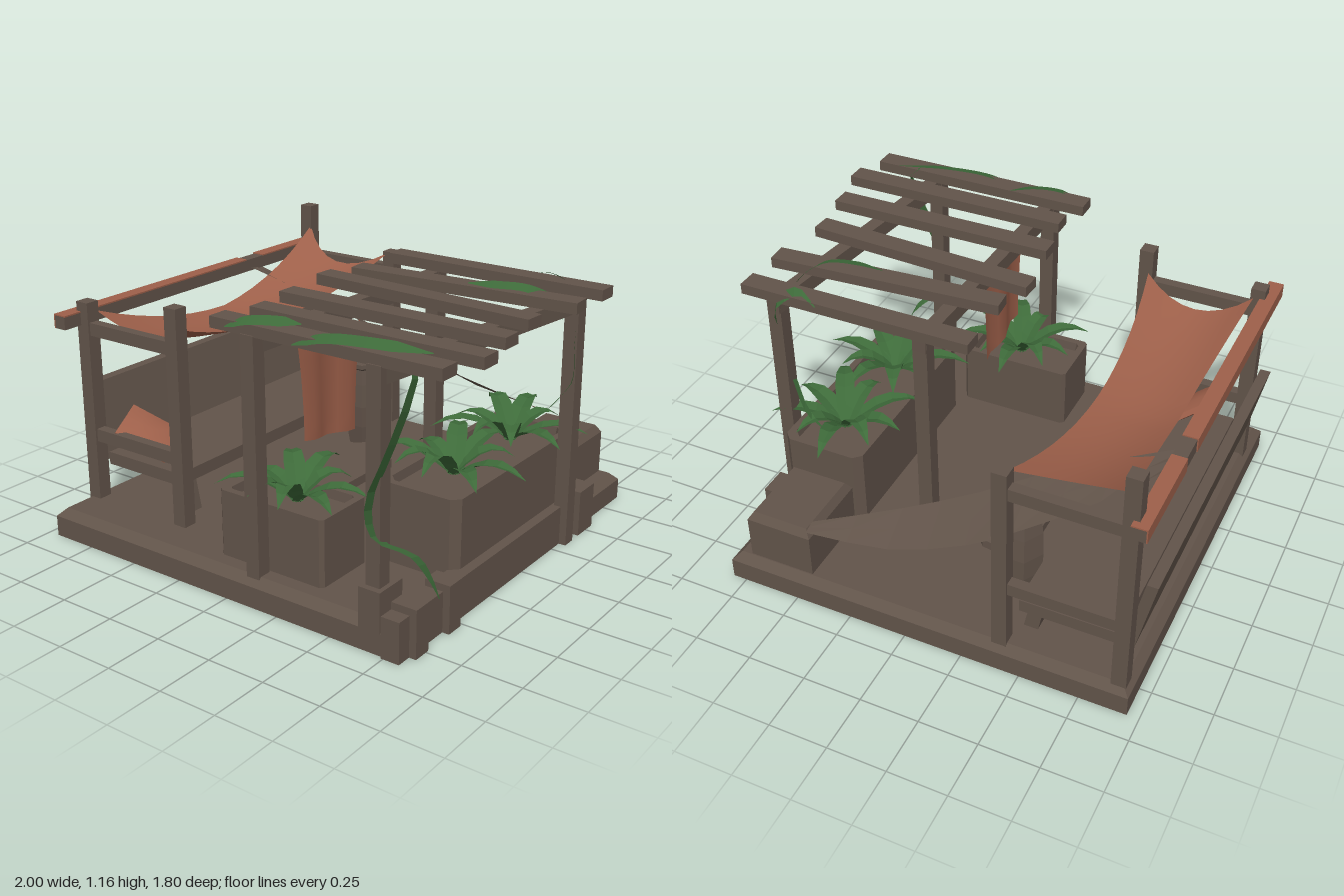
import * as THREE from 'three';

const wood = new THREE.MeshStandardMaterial({ color: 0x62544a, side: THREE.DoubleSide, flatShading: true });
wood.name = 'weathered wood';
const cloth = new THREE.MeshStandardMaterial({ color: 0x9e604a, side: THREE.DoubleSide });
cloth.name = 'terracotta cloth';
const leafGreen = new THREE.MeshStandardMaterial({ color: 0x3e6b3a, side: THREE.DoubleSide, flatShading: true });
leafGreen.name = 'leaf green';

const V = (x, y, z) => new THREE.Vector3(x, y, z);

export function createModel() {
  const root = new THREE.Group();
  const add = (name, geo, mat = wood) => {
    const m = new THREE.Mesh(geo, mat);
    m.name = name;
    root.add(m);
    return m;
  };
  // Box shell, open underneath
  const shell = (w, h, d) => {
    const g = new THREE.BoxGeometry(w, h, d);
    const { start, count } = g.groups[3];
    g.setIndex(Array.from(g.index.array).filter((_, i) => i < start || i >= start + count));
    g.clearGroups();
    return g;
  };
  // Box from its limits on each axis
  const box = (name, x0, x1, y0, y1, z0, z1, mat = wood) => {
    const m = add(name, shell(x1 - x0, y1 - y0, z1 - z0), mat);
    m.position.set((x0 + x1) / 2, (y0 + y1) / 2, (z0 + z1) / 2);
  };
  const post = (name, x, z, y0, y1, w = 0.062) => box(name, x - w / 2, x + w / 2, y0, y1, z - w / 2, z + w / 2);
  // Level beam running between two points
  const beam = (name, a, b, w, h) => {
    const m = add(name, shell(w, h, a.distanceTo(b)));
    m.position.copy(a).add(b).multiplyScalar(0.5);
    m.lookAt(b);
  };
  // Surface sampled from a rule f(u, v) -> point
  const sheet = (name, nu, nv, f, mat) => {
    const g = new THREE.PlaneGeometry(1, 1, nu, nv);
    const p = g.attributes.position;
    for (let i = 0; i < p.count; i++) {
      const q = f(p.getX(i) + 0.5, p.getY(i) + 0.5);
      p.setXYZ(i, q.x, q.y, q.z);
    }
    g.computeVertexNormals();
    return add(name, g, mat);
  };
  // Level rings of [x, z] corners joined from the bottom up, closed by a lid on the last ring
  const stack = (name, rings) => {
    const pos = [], idx = [], n = rings[0].pts.length;
    for (const { y, pts } of rings) for (const [x, z] of pts) pos.push(x, y, z);
    const last = rings[rings.length - 1], base = (rings.length - 1) * n;
    pos.push(last.pts.reduce((s, p) => s + p[0], 0) / n, last.y, last.pts.reduce((s, p) => s + p[1], 0) / n);
    for (let i = 0; i < n; i++) {
      const j = (i + 1) % n;
      for (let r = 0; r < base; r += n) idx.push(r + i, r + n + i, r + j, r + j, r + n + i, r + n + j);
      idx.push(base + i, base + n, base + j);
    }
    const g = new THREE.BufferGeometry();
    g.setAttribute('position', new THREE.Float32BufferAttribute(pos, 3));
    g.setIndex(idx);
    g.computeVertexNormals();
    add(name, g);
  };
  // Rectangle ring inset by t, with corners cut by c when c is given
  const rect = (y, x0, x1, z0, z1, t = 0, c = 0) => {
    const a = x0 + t, b = x1 - t, d = z0 + t, e = z1 - t;
    return { y, pts: c ? [[a + c, d], [b - c, d], [b, d + c], [b, e - c], [b - c, e], [a + c, e], [a, e - c], [a, d + c]]
      : [[a, d], [b, d], [b, e], [a, e]] };
  };
  // Side profile in x and y, extruded along z
  const prism = (name, pts, z0, z1) => {
    const s = new THREE.Shape(pts.map(([x, y]) => new THREE.Vector2(x, y)));
    add(name, new THREE.ExtrudeGeometry(s, { depth: z1 - z0, bevelEnabled: false })).position.z = z0;
  };

  // Platform with a bevelled rim, edging and short stakes along the right side
  const deck = [-0.95, 0.81, -0.89, 0.87];
  stack('platform', [rect(0, ...deck), rect(0.09, ...deck), rect(0.125, ...deck, 0.035)]);
  box('edging', 0.74, 0.82, 0, 0.17, -0.55, 0.88);
  for (const [z0, z1] of [[0.735, 0.815], [0.515, 0.595], [-0.555, -0.43]])
    box('edgeStake', 0.74, 0.85, 0, 0.2, z0, z1);
  box('postFooting', 0.635, 0.73, 0.09, 0.255, 0.73, 0.872);

  // Stepping slab with cut corners
  const slab = [[-0.26, -0.43], [-0.12, -0.41], [-0.05, -0.33], [-0.05, 0.18], [-0.26, 0.18], [-0.315, 0.12], [-0.315, -0.38]];
  stack('steppingSlab', [{ y: 0.11, pts: slab }, { y: 0.165, pts: slab }]);

  // Storage chest in the back corner
  const chest = [0.44, 0.73, -0.85, -0.5];
  stack('chest', [rect(0.11, ...chest), rect(0.315, ...chest), rect(0.35, ...chest, 0.022)]);

  // Planters: outer wall, rim, inner wall and soil
  const planter = (c, y, ...r) => stack('planter', [rect(0.11, ...r, 0, c), rect(y, ...r, 0, c),
    rect(y, ...r, 0.03, c), rect(y - 0.04, ...r, 0.035, c)]);
  planter(0.015, 0.405, -0.105, 0.4, 0.49, 0.775);
  planter(0.033, 0.46, 0.41, 0.777, -0.48, 0.44);

  // Pergola posts, beams and slats
  post('pergolaPost', 0.12, 0.815, 0.11, 1.09);
  post('pergolaPost', 0.68, 0.815, 0.11, 1.09);
  post('pergolaPost', 0.82, -0.345, 0, 1.09);
  post('pergolaPost', 0.16, -0.345, 0.11, 1.09);
  beam('pergolaBeam', V(0.12, 1.05, 0.82), V(0.16, 1.05, -0.38), 0.06, 0.065);
  beam('pergolaBeam', V(0.68, 1.05, 0.82), V(0.82, 1.05, -0.38), 0.06, 0.065);
  for (const [x0, z0, x1, z1] of [[-0.06, -0.355, 0.95, -0.355], [-0.05, -0.065, 0.95, -0.135], [-0.1, 0.1, 0.91, 0.155],
    [-0.06, 0.39, 0.95, 0.39], [-0.02, 0.615, 1, 0.615], [-0.06, 0.795, 0.95, 0.795]])
    beam('pergolaSlat', V(x0, 1.107, z0), V(x1, 1.107, z1), 0.09, 0.045);

  // Hanging cloth under the pergola, tapering downwards
  sheet('hangingCloth', 6, 6, (u, v) => {
    const a = 2 * u - 1;
    const top = 0.96 + 0.05 * a * a, bottom = 0.58 - 0.025 * a;
    return V(0.17 + 0.012 * Math.sin(u * 9), bottom + (top - bottom) * v,
      0.42 - a * (0.16 + 0.035 * v * v));
  }, cloth);

  // Canopy frame: four posts, end rails and a long wrapped side pole
  post('canopyPost', -0.9, -0.835, 0.11, 1.14);
  post('canopyPost', -0.405, -0.835, 0.11, 0.98);
  post('canopyPost', -0.9, 0.66, 0.11, 1.0);
  post('canopyPost', -0.405, 0.66, 0.11, 1.06);
  for (const z of [-0.835, 0.66])
    for (const y of [0.39, 0.86]) box('endRail', -0.88, -0.42, y, y + 0.055, z - 0.022, z + 0.022);
  box('sidePole', -0.966, -0.91, 0.9, 0.955, -0.895, 0.78);
  for (const [z0, z1] of [[-0.895, -0.48], [-0.36, 0.78]]) {
    box('poleWrapTop', -0.97, -0.908, 0.954, 0.96, z0, z1, cloth);
    box('poleWrapSide', -0.971, -0.965, 0.9, 0.96, z0, z1, cloth);
  }

  // Sagging canopy cloth, scooped along its edges
  sheet('canopyCloth', 8, 14, (u, v) => {
    const a = 2 * u - 1, b = 2 * v - 1;
    const back = Math.max(0, b), dip = 1 - a * a;
    const corner = 0.955 + back * (0.05 - 0.035 * a);
    return V(-0.65 + a * (0.17 + 0.062 * b * b),
      corner - 0.14 * (1 - b * b) - dip * (0.03 + 0.06 * b * b),
      -0.095 - b * (0.725 - dip * (b > 0 ? 0.1 : 0.05)));
  }, cloth);

  // Bench: seat, leaning back, splayed legs
  box('benchSeat', -0.87, -0.46, 0.265, 0.32, -0.8, 0.62);
  prism('benchBack', [[-1, 0.61], [-0.93, 0.28], [-0.885, 0.28], [-0.955, 0.61]], -0.8, 0.63);
  for (const z of [-0.74, 0.5])
    prism('benchLeg', [[-0.545, 0.27], [-0.515, 0.12], [-0.455, 0.12], [-0.485, 0.27]], z, z + 0.06);

  // Plump cushion leaning on the bench
  const cushionGeo = new THREE.BoxGeometry(0.26, 0.06, 0.19, 4, 1, 4);
  const cp = cushionGeo.attributes.position;
  for (let i = 0; i < cp.count; i++) {
    const e = Math.max(Math.abs(cp.getX(i)) / 0.13, Math.abs(cp.getZ(i)) / 0.095);
    cp.setY(i, cp.getY(i) * (1.2 - 0.8 * e * e));
  }
  cushionGeo.computeVertexNormals();
  const cushion = add('cushion', cushionGeo, cloth);
  cushion.position.set(-0.705, 0.41, 0.53);
  cushion.rotation.set(0.35, 0.3, -0.62);

  // Six-sided urn
  const urn = add('urn', new THREE.LatheGeometry([[0.07, 0.12], [0.088, 0.22], [0.096, 0.32], [0.092, 0.43],
    [0.085, 0.5], [0.1, 0.51], [0.1, 0.53], [0.06, 0.53], [0.05, 0.44], [0, 0.44]].map(([r, y]) => new THREE.Vector2(r, y)), 6));
  urn.position.set(-0.35, 0, -0.53);
  urn.rotation.y = Math.PI / 6;

  // Strip of drab cloth swept from the pole to the back corner
  const frontEdge = new THREE.CatmullRomCurve3([V(-0.95, 0.93, -0.38), V(-0.7, 0.84, -0.45), V(-0.4, 0.715, -0.54),
    V(-0.2, 0.615, -0.61), V(0.09, 0.49, -0.69), V(0.45, 0.37, -0.8)]);
  const backEdge = new THREE.CatmullRomCurve3([V(-0.95, 0.92, -0.46), V(-0.7, 0.765, -0.62), V(-0.4, 0.6, -0.755),
    V(-0.235, 0.515, -0.8), V(0.085, 0.4, -0.84), V(0.45, 0.352, -0.85)]);
  sheet('drapedStrip', 10, 2, (u, v) => frontEdge.getPoint(u).lerp(backEdge.getPoint(u), v), wood);

  // Rosette plants: long, arching, pointed leaves
  const plant = (x, y, z, r, n, turn) => {
    for (let i = 0; i < n; i++) {
      const ang = turn + i / n * Math.PI * 2;
      const len = r * (0.85 + 0.15 * Math.sin(i * 2.4 + turn));
      const rise = 0.09 + 0.05 * ((i * 3) % 4) / 3;
      sheet('leaf', 5, 2, (u, v) => {
        const w = 0.042 * Math.sin(Math.PI * (0.2 + 0.8 * u)) * (2 * v - 1);
        const d = u * len;
        return V(x + Math.cos(ang) * d - Math.sin(ang) * w,
          y + rise * Math.sin(u * 2.4) + Math.abs(w) * 0.3,
          z + Math.sin(ang) * d + Math.cos(ang) * w);
      }, leafGreen);
    }
  };
  plant(0.17, 0.37, 0.63, 0.32, 9, 0.45);
  plant(0.59, 0.43, -0.27, 0.34, 9, 0.35);
  plant(0.59, 0.43, 0.17, 0.34, 9, 0.75);

  // Vines: tapered ribbons along a curve
  const vine = (pts, dir, width) => {
    const c = new THREE.CatmullRomCurve3(pts.map((p) => V(...p)));
    sheet('vine', 18, 1, (u, v) => c.getPoint(u).addScaledVector(dir,
      (v - 0.5) * width * Math.min(1, 0.15 + 4 * u, 0.1 + 4 * (1 - u))), leafGreen);
  };
  const drooping = V(0.25, -0.3, 0.92), sideways = V(0.45, 0.3, 0.84);
  vine([[0.03, 1.11, 0.86], [0.1, 1.137, 0.83], [0.2, 1.145, 0.79], [0.29, 1.135, 0.74]], drooping, 0.065);
  vine([[0.34, 1.1, 0.86], [0.45, 1.135, 0.83], [0.65, 1.145, 0.79], [0.85, 1.135, 0.74]], drooping, 0.065);
  vine([[0.74, 1.14, 0.75], [0.8, 1.08, 0.77], [0.75, 0.8, 0.84], [0.68, 0.58, 0.875], [0.7, 0.45, 0.85],
    [0.79, 0.37, 0.75], [0.82, 0.27, 0.69], [0.84, 0.17, 0.65]], V(0.1, 0.3, 0.95), 0.06);
  vine([[0.48, 1.135, -0.08], [0.6, 1.145, -0.09], [0.72, 1.14, -0.13], [0.8, 1.08, -0.21], [0.81, 1.0, -0.26]], drooping, 0.055);
  vine([[0.6, 1.12, -0.41], [0.7, 1.145, -0.37], [0.79, 1.08, -0.4], [0.84, 0.88, -0.31], [0.86, 0.76, -0.28],
    [0.79, 0.66, -0.33], [0.7, 0.56, -0.39], [0.63, 0.49, -0.39]], sideways, 0.06);

  return root;
}
